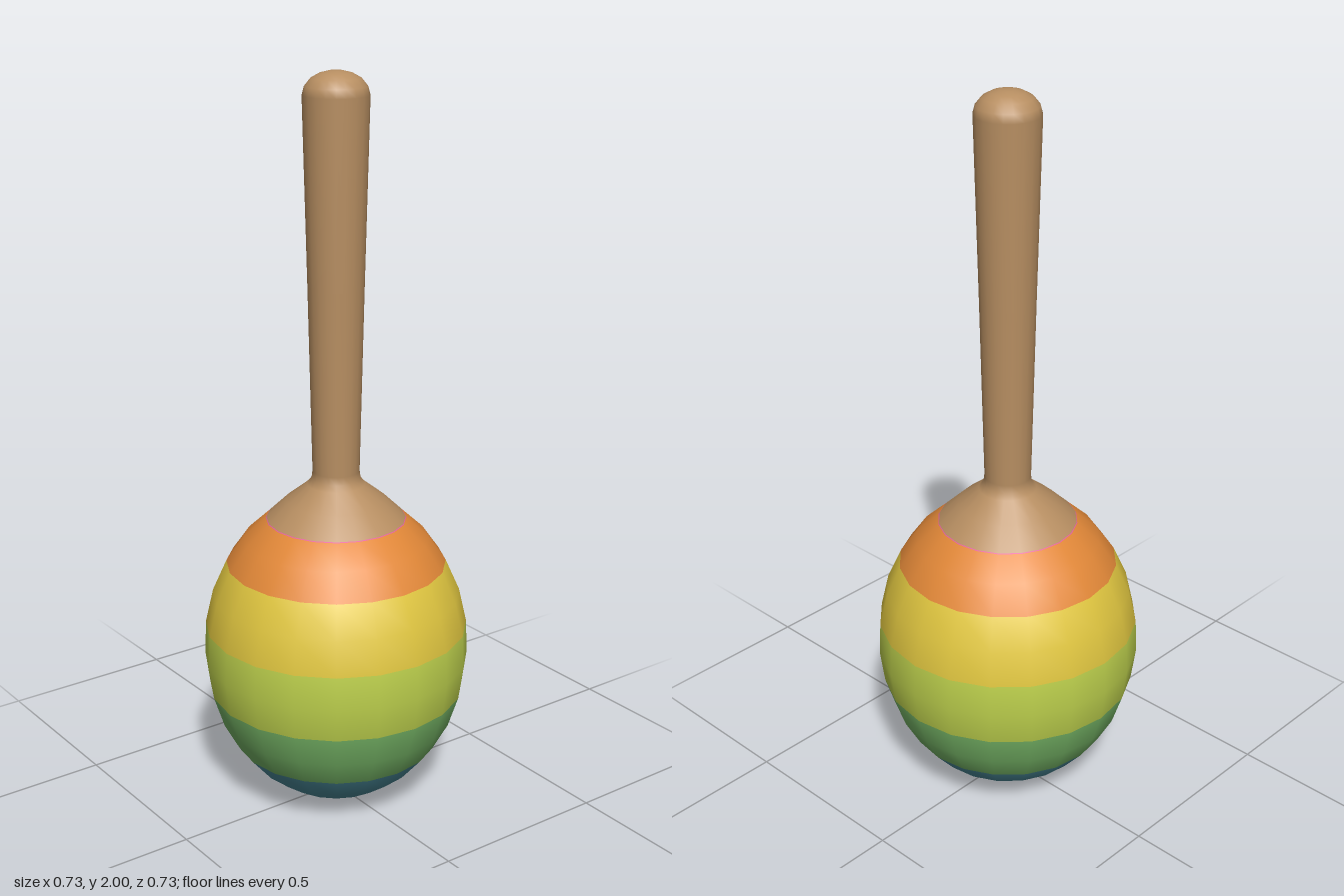
import * as THREE from 'three';

const SIDES = 20;
const RADIUS = 0.363; // widest part of the egg
const HALF = 0.44; // half the egg's height

function mat(name, color) {
  const m = new THREE.MeshStandardMaterial({ color });
  m.name = name;
  return m;
}

// One painted band of the egg, between two heights
function band(name, color, yTop, yBottom, rings) {
  const angle = (y) => Math.acos((y - HALF) / HALF);
  const start = angle(yTop);
  const geo = new THREE.SphereGeometry(1, SIDES, rings, 0, Math.PI * 2, start, angle(yBottom) - start);
  geo.scale(RADIUS, HALF, RADIUS);
  geo.translate(0, HALF, 0);
  const mesh = new THREE.Mesh(geo, mat(name + ' paint', color));
  mesh.name = name + 'Band';
  return mesh;
}

export function createModel() {
  const group = new THREE.Group();
  group.name = 'maraca';

  // Striped egg-shaped head, top to bottom
  const bands = [
    ['pink', 0xe0609c, 0.88, 0.815, 2],
    ['orange', 0xe28838, 0.815, 0.69, 2],
    ['yellow', 0xe0c640, 0.69, 0.51, 2],
    ['lime', 0xbccf4c, 0.51, 0.325, 2],
    ['green', 0x76b566, 0.325, 0.16, 2],
    ['blue', 0x4a8a99, 0.16, 0, 4],
  ];
  for (const b of bands) group.add(band(...b));

  // Wooden collar, tapering handle and rounded end in one turned piece
  const profile = [
    [0.188, 0.817], [0.135, 0.868], [0.078, 0.913], [0.066, 0.928], [0.063, 0.95],
    [0.074, 1.45], [0.086, 1.94], [0.08, 1.962], [0.064, 1.982], [0.042, 1.994],
    [0.018, 2], [0, 2],
  ].map(([r, y]) => new THREE.Vector2(r, y));
  const handle = new THREE.Mesh(new THREE.LatheGeometry(profile, SIDES), mat('wood', 0xb88f62));
  handle.name = 'handle';
  group.add(handle);

  return group;
}
